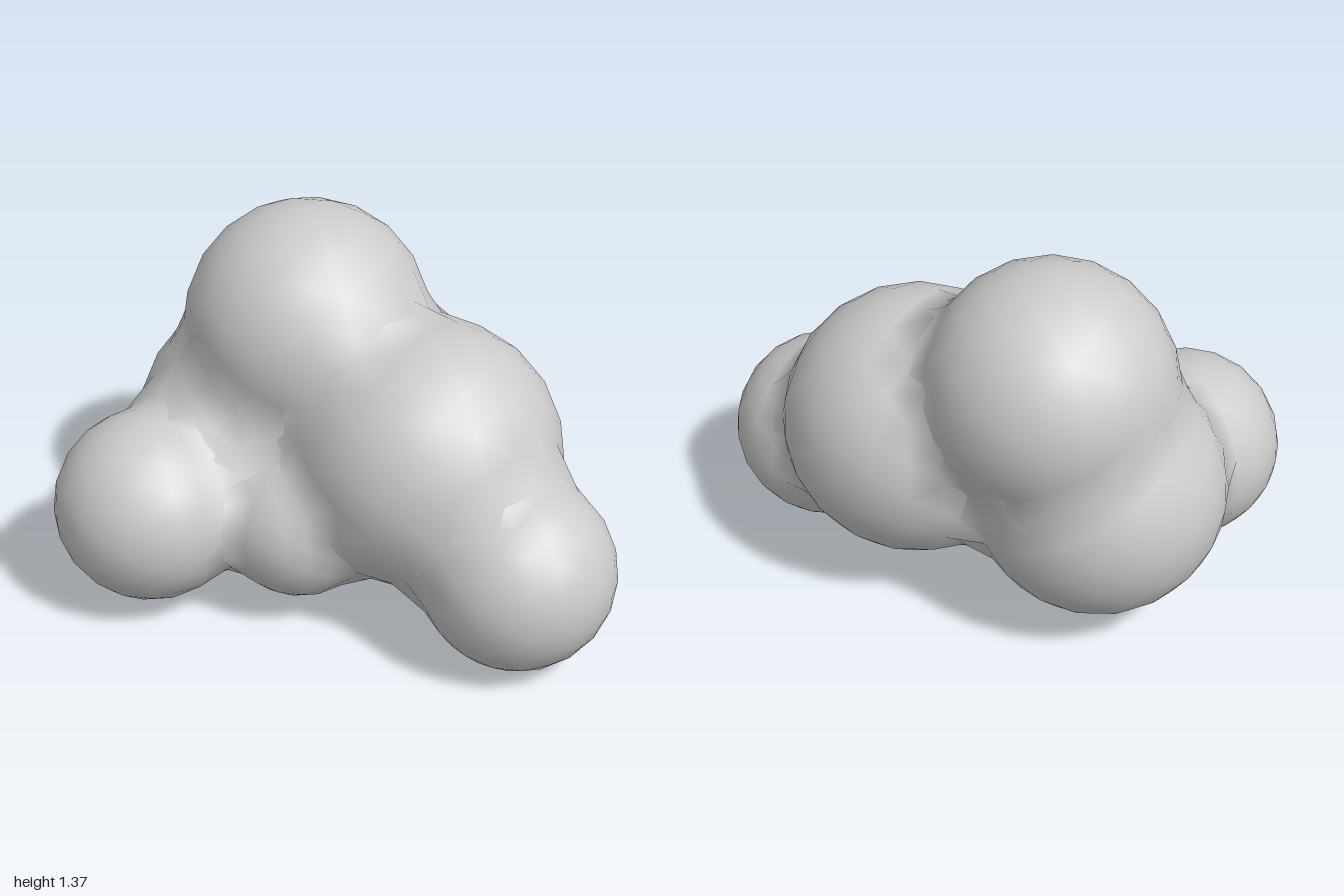
import * as THREE from 'three';
import { mergeVertices } from 'three/addons/utils/BufferGeometryUtils.js';

// Lobes of the cluster: name, centre, radius
const LOBES = [
  ['topLobe', [-0.168, 0.937, -0.235], 0.438],
  ['middleLobe', [0.3, 0.6, 0.035], 0.479],
  ['backLobe', [-0.34, 0.515, -0.23], 0.45],
  ['leftFootLobe', [0.657, 0.345, 0.335], 0.343],
  ['rightFootLobe', [-0.657, 0.388, 0.197], 0.344],
  ['frontLobe', [-0.13, 0.365, 0.15], 0.287],
].map(([name, c, r]) => ({ name, c: new THREE.Vector3(...c), r }));

const BLEND = 0.1;

// Signed distance to the softly merged lobes
function field(p) {
  let d = Infinity;
  for (const { c, r } of LOBES) {
    const e = p.distanceTo(c) - r;
    const h = Math.max(BLEND - Math.abs(d - e), 0);
    d = Math.min(d, e) - (h * h) / (4 * BLEND);
  }
  return d;
}

// Field gradient, so that shading flows across the seams
function fieldNormal(p) {
  const s = 0.04;
  const slope = (x, y, z) =>
    field(p.clone().add(new THREE.Vector3(x, y, z))) - field(p.clone().sub(new THREE.Vector3(x, y, z)));
  return new THREE.Vector3(slope(s, 0, 0), slope(0, s, 0), slope(0, 0, s)).normalize();
}

// Faceted ball whose vertices swell outward to fillet the joints
function lobeGeometry({ c, r }) {
  const raw = new THREE.IcosahedronGeometry(1, 3);
  raw.deleteAttribute('uv');
  raw.deleteAttribute('normal');
  const geo = mergeVertices(raw, 1e-4);
  const pos = geo.attributes.position;
  const normals = [];
  for (let i = 0; i < pos.count; i++) {
    const dir = new THREE.Vector3().fromBufferAttribute(pos, i).normalize();
    const p = c.clone().addScaledVector(dir, r);
    for (let k = 0; k < 24; k++) {
      const d = field(p);
      if (d > -0.001 || p.distanceTo(c) > r * 1.2) break;
      p.addScaledVector(dir, Math.min(-d, 0.03));
    }
    pos.setXYZ(i, p.x, p.y, p.z);
    normals.push(fieldNormal(p));
  }
  geo.setAttribute('normal', new THREE.Float32BufferAttribute(normals.flatMap((n) => n.toArray()), 3));
  return geo;
}

export function createModel() {
  const group = new THREE.Group();
  group.name = 'lobedCluster';
  const material = new THREE.MeshStandardMaterial({ color: 0xcccccc });
  for (const lobe of LOBES) {
    const mesh = new THREE.Mesh(lobeGeometry(lobe), material);
    mesh.name = lobe.name;
    group.add(mesh);
  }
  return group;
}
